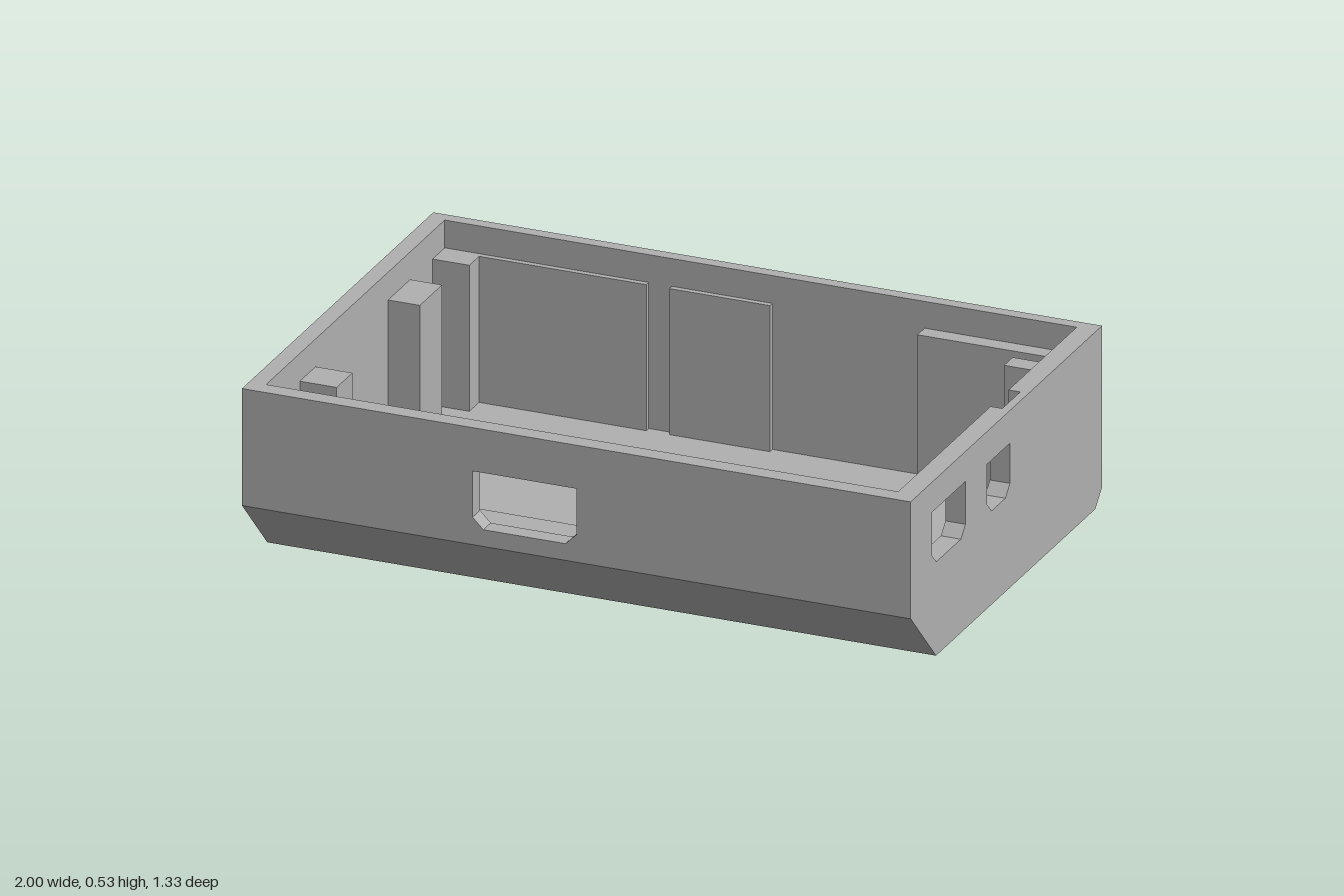
import * as THREE from 'three';

const TOP = 0.53, FLOOR = 0.01, LEDGE = 0.18, POST = 0.447;
const IN = { left: 0.94, right: -0.95, front: 0.615, back: -0.63 };

export function createModel() {
  const group = new THREE.Group();
  group.name = 'enclosureTray';
  const grey = new THREE.MeshStandardMaterial({ color: 0xb0b0b0 });
  grey.name = 'grey plastic';

  const add = (name, geo) => {
    const mesh = new THREE.Mesh(geo, grey);
    mesh.name = name;
    group.add(mesh);
  };
  const poly = (pts) => pts.map(([a, b]) => new THREE.Vector2(a, b));
  const panel = (outline, holes, depth) => {
    const shape = new THREE.Shape(poly(outline));
    for (const h of holes) shape.holes.push(new THREE.Path(poly(h)));
    return new THREE.ExtrudeGeometry(shape, { depth, bevelEnabled: false });
  };
  // Panel drawn in (z, y) and extruded from x0 to x1
  const alongX = (outline, holes, x0, x1) =>
    panel(outline, holes, x1 - x0).rotateY(-Math.PI / 2).translate(x1, 0, 0);
  // Port opening with clipped lower corners
  const port = (a0, a1, y0, y1, c = 0.032) =>
    [[a0, y0 + c], [a0 + c, y0], [a1 - c, y0], [a1, y0 + c], [a1, y1], [a0, y1]];
  const block = (name, x0, x1, y0, y1, z0, z1) =>
    add(name, new THREE.BoxGeometry(x1 - x0, y1 - y0, z1 - z0)
      .translate((x0 + x1) / 2, (y0 + y1) / 2, (z0 + z1) / 2));

  // Floor, front ledge and back wall share one cross-section
  const under = [[0.667, LEDGE], [0.49, 0], [-0.62, 0], [-0.667, 0.047], [-0.667, TOP]];
  add('floorAndBackWall', alongX(
    [...under, [IN.back, TOP], [IN.back, FLOOR], [0.43, FLOOR], [0.43, LEDGE]],
    [], IN.right, IN.left));

  // Front wall with port
  add('frontWall', panel(
    [[IN.right, LEDGE], [IN.left, LEDGE], [IN.left, TOP], [IN.right, TOP]],
    [port(-0.31, 0, 0.23, 0.4)], 0.667 - IN.front).translate(0, 0, IN.front));

  // End walls; the left one has two ports and a pocket cut down from the rim
  const end = [...under, [0.667, TOP]];
  const pocket = [[-0.155, TOP], [-0.155, 0.3], [-0.03, 0.3], [-0.03, TOP]];
  const ports = [port(0.285, 0.52, 0.28, 0.44), port(-0.025, 0.135, 0.28, 0.432)];
  add('rightWall', alongX(end, [], -1, IN.right));
  add('leftWallOuter', alongX(end, ports, 0.975, 1));
  add('leftWallInner', alongX([...under, ...pocket, [0.667, TOP]], ports, IN.left, 0.975));

  // Posts along the right wall: inner x, z range, base height
  for (const [x, z0, z1, y0] of [
    [-0.84, IN.back, -0.545, FLOOR], [-0.855, -0.39, -0.235, FLOOR],
    [-0.84, 0.27, 0.38, FLOOR], [-0.855, 0.555, IN.front, LEDGE],
  ]) block('supportPost', IN.right, x, y0, POST, z0, z1);

  // Raised pads on the back and front walls
  for (const [x0, x1] of [[-0.84, -0.34], [-0.27, 0.03]])
    block('backPad', x0, x1, FLOOR, POST, IN.back, -0.613);
  for (const [x0, x1] of [[0.03, 0.11], [0.29, 0.64], [0.79, IN.left]])
    block('frontPad', x0, x1, LEDGE, POST, 0.6, IN.front);

  // Supports in the back left corner
  block('cornerSupport', 0.485, IN.left, FLOOR, 0.45, IN.back, -0.58);
  block('cornerPost', 0.785, IN.left, FLOOR, POST, -0.545, -0.485);

  return group;
}
